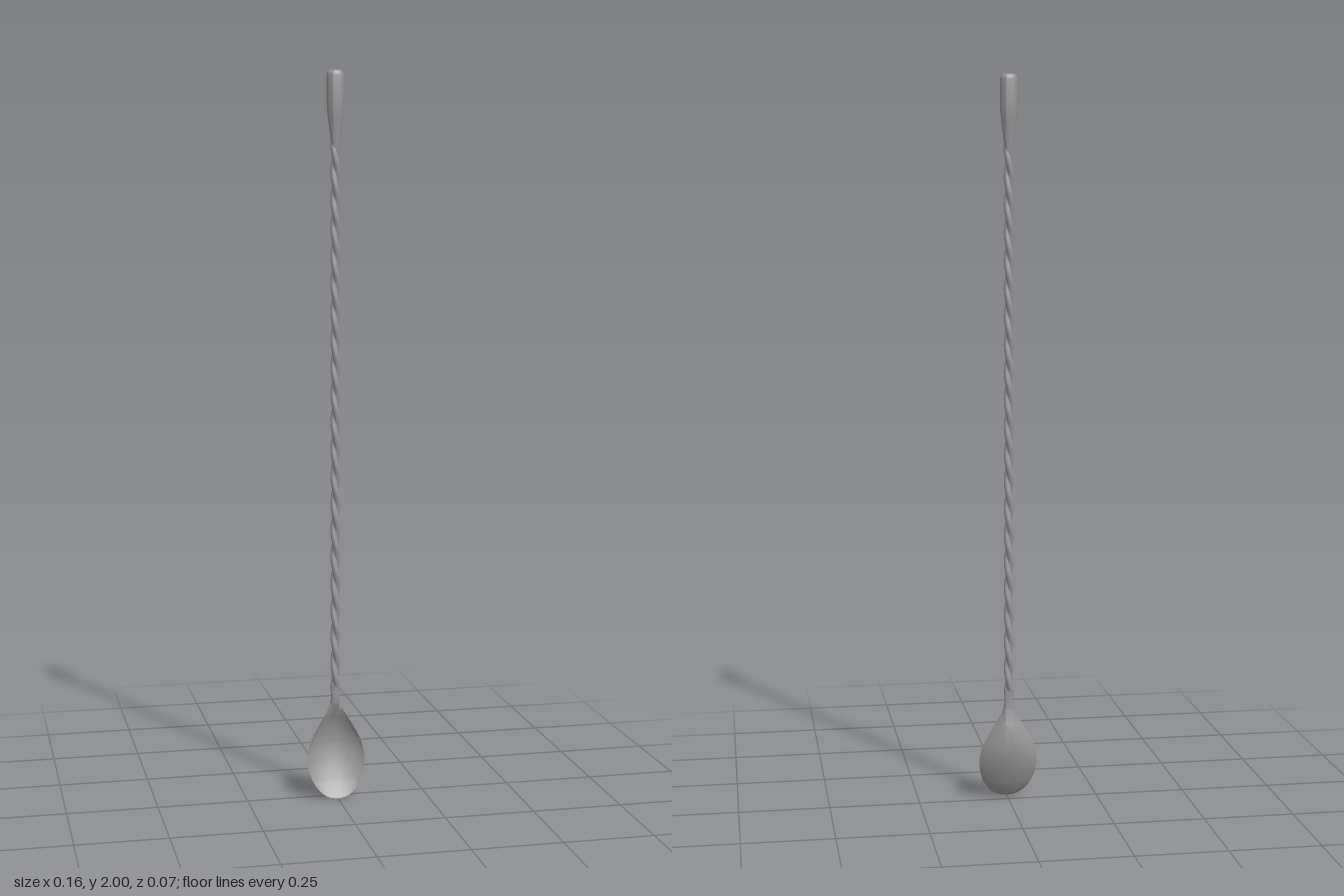
import * as THREE from 'three';
import { toCreasedNormals } from 'three/addons/utils/BufferGeometryUtils.js';

const AXIS_Z = -0.005;

// Skin of stacked rings; point(a, t) gives [x, y, z] for ring angle a and height parameter t (upwards)
function loft(sides, rows, point) {
  const pos = [], index = [];
  for (let i = 0; i <= rows; i++)
    for (let j = 0; j < sides; j++) pos.push(...point((j / sides) * Math.PI * 2, i / rows));
  for (let i = 0; i < rows; i++)
    for (let j = 0; j < sides; j++) {
      const a = i * sides + j, b = i * sides + (j + 1) % sides;
      index.push(a, a + sides, b, b, a + sides, b + sides);
    }
  const g = new THREE.BufferGeometry();
  g.setAttribute('position', new THREE.Float32BufferAttribute(pos, 3));
  g.setIndex(index);
  g.computeVertexNormals();
  return g;
}

export function createModel() {
  const group = new THREE.Group();
  const material = new THREE.MeshStandardMaterial({ color: 0x969696 });
  const add = (name, geometry) => {
    const mesh = new THREE.Mesh(geometry, material);
    mesh.name = name;
    group.add(mesh);
    return mesh;
  };

  // Handle cap: rounded cylinder tapering into the stem
  const profile = [
    [0, 1.775], [0.008, 1.775], [0.011, 1.8], [0.015, 1.835], [0.02, 1.875], [0.0225, 1.9],
    [0.023, 1.92], [0.023, 1.985], [0.0215, 1.993], [0.018, 1.998], [0.012, 2], [0, 2],
  ].map(([r, y]) => new THREE.Vector2(r, y));
  add('handleCap', toCreasedNormals(new THREE.LatheGeometry(profile, 32), 0.7)).position.z = AXIS_Z;

  // Twisted stem: two merged round strands, half a turn per 0.075
  const strand = 0.0085, offset = 0.005;
  add('twistedStem', loft(24, 320, (a, t) => {
    const y = 0.295 + t * 1.515;
    const angle = a + (y / 0.15) * Math.PI * 2;
    const r = offset * Math.abs(Math.cos(a)) + Math.sqrt(strand ** 2 - (offset * Math.sin(a)) ** 2);
    return [r * Math.cos(angle), y, AXIS_Z + r * Math.sin(angle)];
  }));

  // Spoon bowl and neck: height, half width, rim z, inner z, outer z
  const sections = [
    [0, 0, 0.033, 0.033, 0.033],
    [0.005, 0.026, 0.031, 0.029, 0.026],
    [0.02, 0.048, 0.026, 0.019, 0.014],
    [0.05, 0.069, 0.018, 0.002, -0.004],
    [0.1, 0.081, 0.007, -0.018, -0.024],
    [0.15, 0.074, 0.001, -0.028, -0.034],
    [0.2, 0.049, -0.002, -0.022, -0.031],
    [0.24, 0.025, -0.003, -0.007, -0.022],
    [0.27, 0.013, -0.005, 0.004, -0.017],
    [0.315, 0.012, -0.005, 0.006, -0.016],
  ];
  const outline = new THREE.CatmullRomCurve3(
    sections.map(([y, w, rim]) => new THREE.Vector3(w, y, rim)), false, 'catmullrom');
  const depth = new THREE.CatmullRomCurve3(
    sections.map(([, , , inner, outer]) => new THREE.Vector3(inner, outer, 0)), false, 'catmullrom');
  const bowl = loft(48, 54, (a, t) => {
    const o = outline.getPoint(t), d = depth.getPoint(t);
    // The section turns from a sharp-rimmed dish into a round neck
    const power = 1.8 - 0.8 * THREE.MathUtils.smoothstep(t, 0.7, 0.9);
    const s = Math.sin(a), bulge = Math.pow(Math.abs(s), power);
    return [o.x * Math.cos(a), o.y, o.z + ((s > 0 ? d.x : d.y) - o.z) * bulge];
  });
  add('spoonBowl', toCreasedNormals(bowl, 0.9));

  return group;
}
